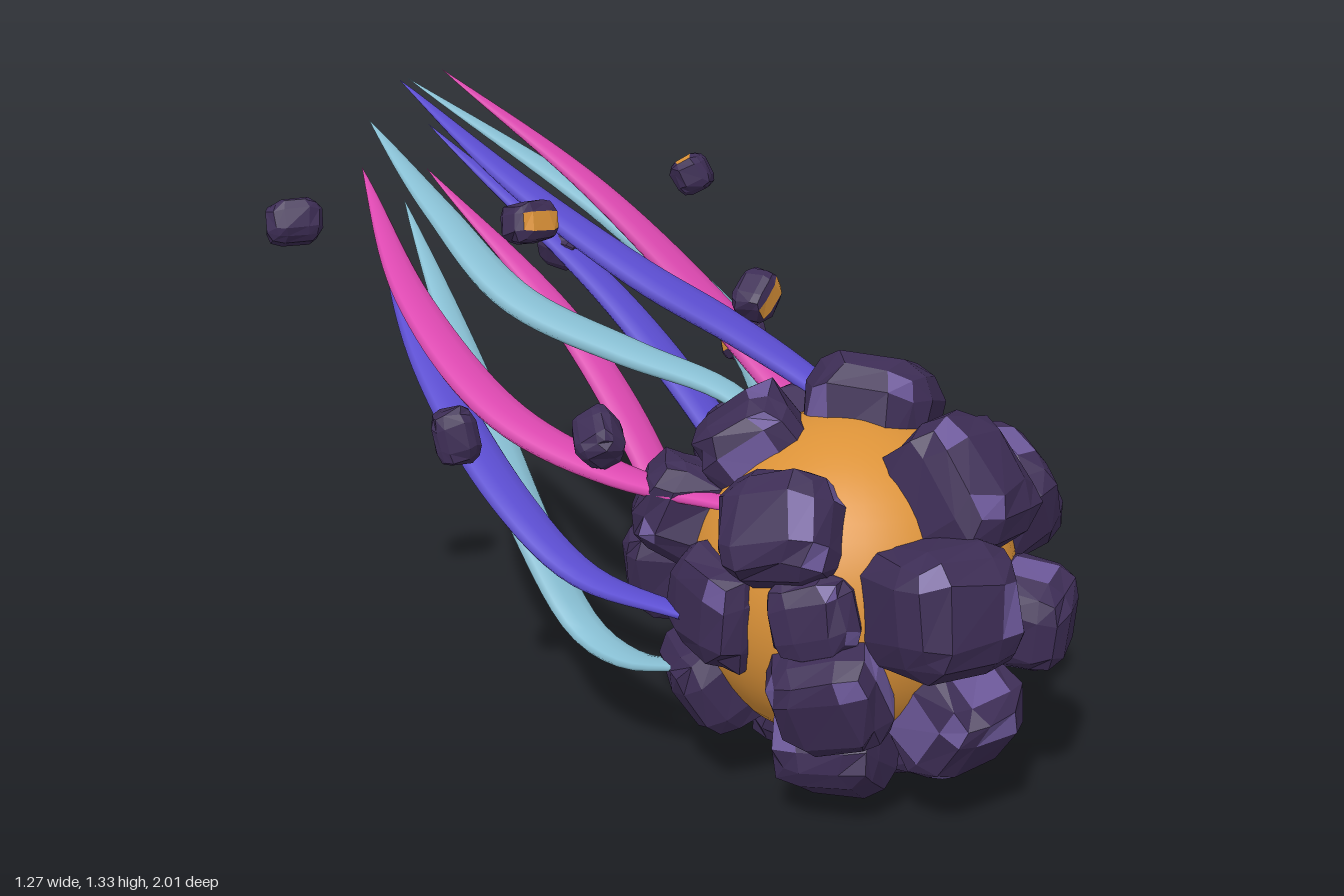
import * as THREE from 'three';

const mat = (name, color, opts = {}) => {
  const m = new THREE.MeshStandardMaterial({ color, ...opts });
  m.name = name;
  return m;
};

// Seeded random numbers
let seed = 7;
const rand = () => {
  seed = (seed * 16807) % 2147483647;
  return seed / 2147483647;
};

// Chunky boulder: a 3x3x3 box pulled toward a rounded cube, with jittered corners.
// pick(quadIndex) gives the material index of each facet.
function rockGeometry(w, h, d, pick) {
  const box = new THREE.BoxGeometry(2, 2, 2, 3, 3, 3);
  const p = box.attributes.position;
  const seen = {};
  const v = new THREE.Vector3();
  for (let i = 0; i < p.count; i++) {
    v.fromBufferAttribute(p, i);
    const key = v.toArray().map((c) => Math.round(c * 3)).join();
    if (!seen[key]) {
      v.set(...v.toArray().map((c) => (Math.abs(c) < 0.9 ? Math.sign(c) * 0.46 : c)));
      const norm = Math.cbrt(Math.abs(v.x) ** 3 + Math.abs(v.y) ** 3 + Math.abs(v.z) ** 3);
      v.divideScalar(norm).multiplyScalar(0.97 + rand() * 0.1);
      v.x += (rand() - 0.5) * 0.14;
      v.y += (rand() - 0.5) * 0.14;
      seen[key] = v.clone();
    }
    p.setXYZ(i, seen[key].x * w / 2, seen[key].y * h / 2, seen[key].z * d / 2);
  }
  const geo = box.toNonIndexed();
  geo.clearGroups();
  for (let q = 0; q < 54; q++) geo.addGroup(q * 6, 6, pick(q));
  geo.computeVertexNormals();
  return geo;
}

// Flattened ribbon lofted along a curve, tapering to a point at the tip
function tailGeometry(points) {
  const curve = new THREE.CatmullRomCurve3(points.map((a) => new THREE.Vector3(...a)));
  const rings = 36, sides = 10;
  const pos = [], index = [];
  for (let i = 0; i <= rings; i++) {
    const u = i / rings;
    const c = curve.getPointAt(u);
    const t = curve.getTangentAt(u);
    const side = new THREE.Vector3(1, 0, 0).addScaledVector(t, -t.x).normalize();
    const up = new THREE.Vector3().crossVectors(t, side);
    const w = 0.056 * Math.pow(Math.max(0, Math.sin(Math.PI * (0.13 + 0.87 * u))), 0.9) + 0.0005;
    for (let j = 0; j < sides; j++) {
      const a = (j / sides) * Math.PI * 2;
      const q = c.clone().addScaledVector(side, Math.cos(a) * w).addScaledVector(up, Math.sin(a) * w * 0.38);
      pos.push(q.x, q.y, q.z);
      if (i < rings) {
        const k = i * sides + j, n = i * sides + ((j + 1) % sides);
        index.push(k, n, k + sides, n, n + sides, k + sides);
      }
    }
  }
  const geo = new THREE.BufferGeometry();
  geo.setAttribute('position', new THREE.Float32BufferAttribute(pos, 3));
  geo.setIndex(index);
  geo.computeVertexNormals();
  return geo;
}

export function createModel() {
  seed = 7;
  const model = new THREE.Group();
  model.name = 'fireball';
  const stone = mat('dark stone', 0x3d2d55, { flatShading: true });
  const crystal = mat('light stone', 0x6c5899, { flatShading: true });
  const glow = mat('orange core', 0xdb9238);
  const colours = {
    pink: mat('pink flame', 0xdc48b0, { side: THREE.DoubleSide }),
    blue: mat('blue flame', 0x5b4dd0, { side: THREE.DoubleSide }),
    cyan: mat('cyan flame', 0x88bfd3, { side: THREE.DoubleSide }),
  };

  // Glowing core
  const centre = new THREE.Vector3(0, 0.43, 0.53);
  const core = new THREE.Mesh(new THREE.SphereGeometry(0.345, 40, 28), glow);
  core.name = 'core';
  core.position.copy(centre);
  model.add(core);

  // Boulders on the core: x, y, z, size
  const boulders = [
    [-0.13, 0.5, 0.86, 0.28], [0.03, 0.665, 0.77, 0.27], [0.135, 0.4, 0.88, 0.21],
    [-0.03, 0.23, 0.83, 0.24], [0.27, 0.575, 0.7, 0.25], [-0.26, 0.32, 0.7, 0.24],
    [-0.26, 0.61, 0.58, 0.24], [0.3, 0.3, 0.59, 0.24], [-0.16, 0.15, 0.64, 0.24],
    [0.11, 0.125, 0.64, 0.25], [0.22, 0.22, 0.33, 0.25], [0.1, 0.735, 0.5, 0.27],
    [0.31, 0.47, 0.39, 0.2], [-0.12, 0.7, 0.38, 0.23], [0.24, 0.6, 0.25, 0.23],
    [0.07, 0.6, 0.2, 0.22], [0.12, 0.4, 0.17, 0.22], [-0.13, 0.4, 0.18, 0.23],
    [0, 0.2, 0.25, 0.24], [-0.28, 0.43, 0.46, 0.23], [-0.22, 0.57, 0.28, 0.22],
    [-0.22, 0.24, 0.38, 0.23], [-0.02, 0.115, 0.43, 0.2], [0.22, 0.17, 0.64, 0.2],
    [-0.27, 0.47, 0.67, 0.18],
  ];
  boulders.forEach(([x, y, z, s]) => {
    // Broad middle facets catch the lighter stone more often
    const pick = (q) => (rand() < (q % 9 === 4 ? 0.1 : 0.05) ? 1 : 0);
    const rock = new THREE.Mesh(rockGeometry(s, s * (0.94 + rand() * 0.1), s * 0.95, pick), [stone, crystal]);
    rock.name = 'boulder';
    rock.position.set(x, y, z);
    rock.lookAt(rock.position.clone().multiplyScalar(2).sub(centre));
    rock.rotateZ((rand() - 0.5) * 0.7);
    model.add(rock);
  });

  // Flame tails from root to tip
  const tails = [
    ['pink', [0.34, 0.46, 0.56], [0.37, 0.52, 0.3], [0.37, 0.6, 0.08], [0.33, 0.78, -0.13], [0.2, 1.06, -0.42], [0.04, 1.315, -0.76]],
    ['blue', [0.2, 0.64, 0.45], [0.24, 0.72, 0.22], [0.17, 0.82, 0.05], [0.06, 0.93, -0.12], [-0.03, 1.1, -0.42], [-0.065, 1.3, -0.79]],
    ['cyan', [-0.02, 0.7, 0.36], [-0.05, 0.77, 0.22], [-0.14, 0.83, 0.03], [-0.24, 0.92, -0.2], [-0.22, 1.06, -0.47], [-0.135, 1.21, -0.82]],
    ['cyan', [0.33, 0.3, 0.46], [0.385, 0.33, 0.2], [0.425, 0.46, 0], [0.41, 0.7, -0.13], [0.32, 0.95, -0.46], [0.13, 1.255, -1]],
    ['blue', [0.2, 0.19, 0.26], [0.27, 0.24, 0.1], [0.33, 0.43, -0.08], [0.3, 0.75, -0.43], [0.165, 1.14, -0.97]],
    ['pink', [-0.24, 0.62, 0.46], [-0.32, 0.64, 0.18], [-0.385, 0.72, -0.08], [-0.33, 0.88, -0.43], [-0.14, 1.095, -0.85]],
    ['pink', [0, 0.14, 0.24], [0.05, 0.18, 0.06], [0.14, 0.4, -0.14], [0.18, 0.7, -0.47], [0.125, 1.04, -0.935]],
    ['blue', [-0.35, 0.41, 0.4], [-0.39, 0.43, 0.15], [-0.39, 0.53, -0.06], [-0.3, 0.73, -0.42], [-0.075, 0.99, -0.89]],
    ['cyan', [-0.31, 0.27, 0.37], [-0.31, 0.23, 0.2], [-0.29, 0.25, 0.04], [-0.27, 0.42, -0.14], [-0.15, 0.68, -0.47], [0.03, 0.98, -0.91]],
  ];
  tails.forEach(([colour, ...points]) => {
    const tail = new THREE.Mesh(tailGeometry(points), colours[colour]);
    tail.name = colour + 'Tail';
    model.add(tail);
  });

  // Loose fragments: position, direction the glowing crack faces, roll, crack length in facets
  const fragments = [
    [-0.565, 1.09, -0.54, 0.2, 1, -0.4, 0, 2], [0.57, 1.03, -0.45, -0.2, 1, -0.5, 0.3, 2],
    [-0.14, 1.06, -0.27, 0, 0.3, 1, -0.1, 3], [0.315, 0.855, -0.01, 0.2, 0, 1, 0.7, 3],
    [-0.51, 0.705, -0.1, 1, 0.2, 0.7, 1.4, 3], [0.475, 0.68, -0.19, -1, 0, -0.4, 0.5, 2],
    [0.46, 0.52, 0.24, 1, 0, 0.5, 1.4, 3], [-0.345, 0.72, 0.15, 0.6, -0.5, 0, 0.8, 1],
    [0.29, 0.865, -0.62, 1, 0.4, -0.3, 0.2, 2],
  ];
  fragments.forEach(([x, y, z, dx, dy, dz, roll, length]) => {
    // Part of the forward face's middle strip glows
    const geo = rockGeometry(0.12, 0.095, 0.095, (q) => (q > 41 - length && q <= 41 ? 1 : 0));
    const piece = new THREE.Mesh(geo, [stone, glow]);
    piece.name = 'fragment';
    piece.position.set(x, y, z);
    piece.lookAt(x + dx, y + dy, z + dz);
    piece.rotateZ(roll);
    model.add(piece);
  });

  return model;
}
